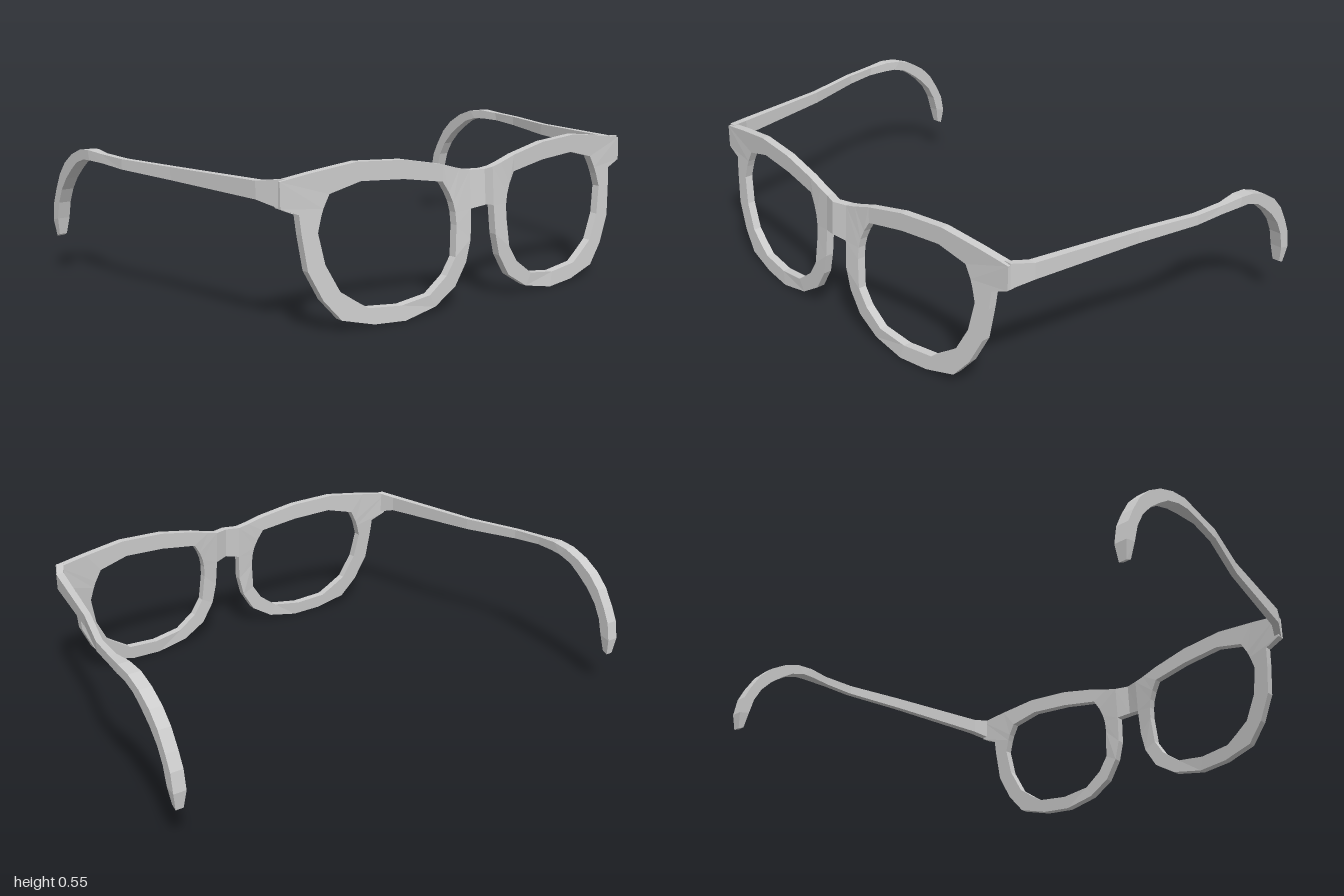
import * as THREE from 'three';

const material = new THREE.MeshStandardMaterial({ color: 0xcccccc, flatShading: true });
const THICKNESS = 0.031;

// Rim stations round one lens: outer side, outer y, inner side, inner y
const RIM = [
  [0.055, 0.485, 0.13, 0.38],
  [0.1, 0.495, 0.145, 0.415],
  [0.17, 0.515, 0.17, 0.455],
  [0.33, 0.545, 0.33, 0.48],
  [0.515, 0.555, 0.5, 0.49],
  [0.68, 0.535, 0.62, 0.46],
  [0.8, 0.517, 0.645, 0.415],
  [0.8, 0.43, 0.655, 0.39],
  [0.735, 0.405, 0.661, 0.37],
  [0.73, 0.34, 0.67, 0.34],
  [0.715, 0.22, 0.65, 0.235],
  [0.665, 0.12, 0.6, 0.14],
  [0.6, 0.045, 0.545, 0.102],
  [0.475, 0.012, 0.495, 0.07],
  [0.35, 0.004, 0.365, 0.058],
  [0.22, 0.03, 0.245, 0.075],
  [0.13, 0.085, 0.17, 0.13],
  [0.08, 0.165, 0.13, 0.19],
  [0.06, 0.245, 0.12, 0.3],
  [0.055, 0.35, 0.122, 0.345],
];

// Bridge stations: side, top y, bottom y, forward bulge
const BRIDGE = [
  [-0.055, 0.485, 0.35, 0],
  [0, 0.485, 0.36, 0.012],
  [0.055, 0.485, 0.35, 0],
];

// Temple stations: top x, top y, bottom x, bottom y, outer z, inner z
const TEMPLE = [
  [0.585, 0.523, 0.585, 0.432, 0.8, 0.772],
  [0.51, 0.513, 0.51, 0.453, 0.835, 0.805],
  [0.1, 0.51, 0.1, 0.465, 0.91, 0.886],
  [-0.13, 0.514, -0.13, 0.477, 0.974, 0.95],
  [-0.26, 0.518, -0.25, 0.485, 0.99, 0.964],
  [-0.345, 0.523, -0.335, 0.486, 1, 0.957],
  [-0.415, 0.515, -0.385, 0.483, 1, 0.953],
  [-0.485, 0.49, -0.445, 0.464, 1, 0.953],
  [-0.55, 0.45, -0.495, 0.43, 1, 0.953],
  [-0.6, 0.4, -0.545, 0.39, 1, 0.953],
  [-0.64, 0.335, -0.59, 0.34, 1, 0.953],
  [-0.667, 0.28, -0.62, 0.285, 1, 0.953],
  [-0.68, 0.21, -0.638, 0.22, 1, 0.953],
  [-0.672, 0.145, -0.65, 0.155, 0.991, 0.962],
];

// Back face of the frame: wraps round the face and leans forward towards the bottom
function frameBack(y, z) {
  const wrap = 0.632 - 0.085 * Math.abs(z);
  const lean = 0.09 * Math.max(0, 0.45 - y);
  return Math.min(0.644, wrap + lean);
}

// Four-cornered section of the frame between an outer and an inner point
function frameSection(outerZ, outerY, innerZ, innerY, bulge = 0) {
  const outerX = frameBack(outerY, outerZ) + bulge;
  const innerX = frameBack(innerY, innerZ) + bulge;
  return [
    [outerX + THICKNESS, outerY, outerZ],
    [outerX, outerY, outerZ],
    [innerX, innerY, innerZ],
    [innerX + THICKNESS, innerY, innerZ],
  ];
}

// Skin a row of four-cornered sections; sign -1 mirrors the part to the other side.
// ends: 'closed' joins last to first, 'capped' covers both ends, 'open' leaves them
function loft(name, sections, sign, ends) {
  const indices = [];
  const quad = (a, b, c, d) => {
    if (sign > 0) indices.push(a, b, c, a, c, d);
    else indices.push(a, c, b, a, d, c);
  };
  const count = sections.length;
  const spans = ends === 'closed' ? count : count - 1;
  for (let i = 0; i < spans; i++) {
    const a = i * 4;
    const b = ((i + 1) % count) * 4;
    for (let k = 0; k < 4; k++) {
      const n = (k + 1) % 4;
      quad(a + k, a + n, b + n, b + k);
    }
  }
  if (ends === 'capped') {
    const last = (count - 1) * 4;
    quad(0, 3, 2, 1);
    quad(last, last + 1, last + 2, last + 3);
  }
  const positions = sections.flat().flatMap(([x, y, z]) => [x, y, z * sign]);
  const geometry = new THREE.BufferGeometry();
  geometry.setAttribute('position', new THREE.Float32BufferAttribute(positions, 3));
  geometry.setIndex(indices);
  geometry.computeVertexNormals();
  const mesh = new THREE.Mesh(geometry, material);
  mesh.name = name;
  return mesh;
}

export function createModel() {
  const glasses = new THREE.Group();
  glasses.name = 'eyeglasses';

  const rim = RIM.map((station) => frameSection(...station));
  const bridge = BRIDGE.map(([z, top, bottom, bulge]) => frameSection(z, top, z, bottom, bulge));
  const temple = TEMPLE.map(([tx, ty, bx, by, outer, inner]) => [
    [tx, ty, outer], [tx, ty, inner], [bx, by, inner], [bx, by, outer],
  ]);

  glasses.add(loft('bridge', bridge, 1, 'open'));
  for (const [side, sign] of [['right', 1], ['left', -1]]) {
    glasses.add(loft(`${side}Rim`, rim, sign, 'closed'));
    glasses.add(loft(`${side}Temple`, temple, sign, 'capped'));
  }
  return glasses;
}
